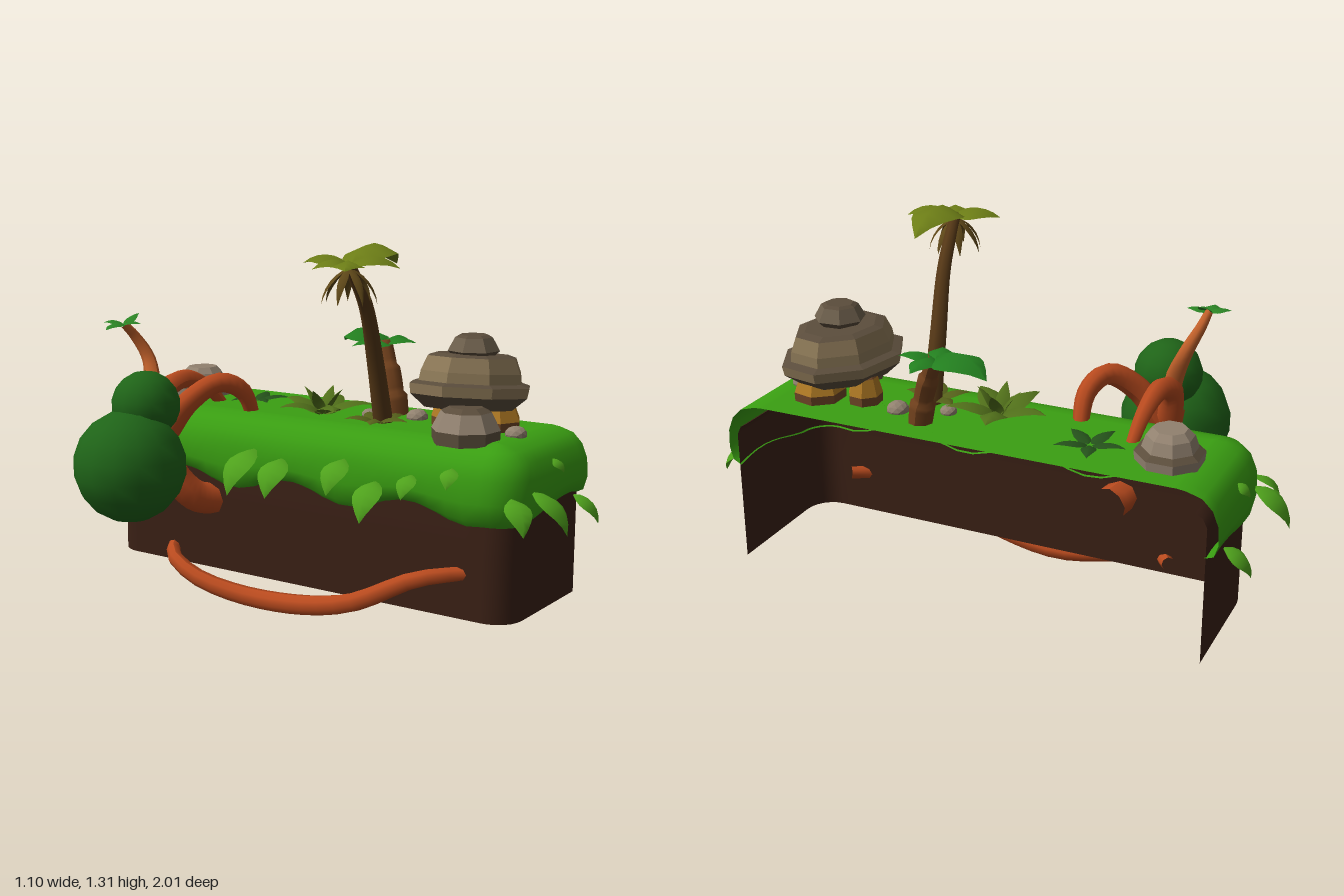
import * as THREE from 'three';

const V = (x, y, z) => new THREE.Vector3(x, y, z);
const GRASS = 0x3a9f12, SOIL = 0x3a2015, LEAF = 0x4fa21c, BARK = 0xb84a1e, OLIVE = 0x6c7d16;

function mesh(name, geometry, color, opts = {}) {
  const m = new THREE.Mesh(geometry, new THREE.MeshStandardMaterial({ color, ...opts }));
  m.name = name;
  return m;
}

// Smooth surface from an n x m grid of points
function grid(n, m, fn) {
  const pos = [], idx = [];
  for (let j = 0; j < m; j++) for (let i = 0; i < n; i++) pos.push(...fn(i, j).toArray());
  for (let j = 0; j < m - 1; j++) for (let i = 0; i < n - 1; i++) {
    const a = j * n + i, c = a + n;
    idx.push(a, a + 1, c + 1, a, c + 1, c);
  }
  const g = new THREE.BufferGeometry();
  g.setAttribute('position', new THREE.Float32BufferAttribute(pos, 3));
  g.setIndex(idx);
  g.computeVertexNormals();
  return g;
}

// Three-sided outline with rounded corners, open on +x: core point and outward normal
function outline() {
  const pts = [], add = (x, z, nx, nz) => pts.push({ x, z, nx, nz });
  for (let k = 0; k < 8; k++) add(0.5 - 0.05 * k, -0.75, 0, -1);
  for (let k = 0; k <= 6; k++) {
    const a = (k / 6) * Math.PI / 2;
    add(0.1, -0.75, -Math.sin(a), -Math.cos(a));
  }
  for (let k = 1; k < 24; k++) add(0.1, -0.75 + 1.5 * k / 24, -1, 0);
  for (let k = 0; k <= 6; k++) {
    const a = (k / 6) * Math.PI / 2;
    add(0.1, 0.75, -Math.cos(a), Math.sin(a));
  }
  for (let k = 1; k <= 8; k++) add(0.1 + 0.05 * k, 0.75, 0, 1);
  return pts;
}

// Sweep a profile of [distance from core, height, waviness] round the outline
function skirt(profile, closeTop) {
  const pts = outline();
  return grid(pts.length, profile.length + (closeTop ? 1 : 0), (i, j) => {
    if (j === profile.length) return V(0.5, profile[j - 1][1], 0);
    const p = pts[i], [d, y, w = 0] = profile[j];
    const wave = w * Math.sin(p.x * 9 + p.z * 13 + 1);
    return V(p.x + p.nx * d, y + wave, p.z + p.nz * d);
  });
}

// Folded leaf along +z whose pitch turns from a0 to a1
function leaf(len, width, a0, a1, color, name = 'leaf') {
  const N = 7, spine = [V(0, 0, 0)];
  for (let k = 1; k < N; k++) {
    const a = a0 + (a1 - a0) * (k - 0.5) / (N - 1);
    spine.push(spine[k - 1].clone().add(V(0, Math.sin(a), Math.cos(a)).multiplyScalar(len / (N - 1))));
  }
  const g = grid(N, 3, (i, j) => {
    const t = i / (N - 1), a = a0 + (a1 - a0) * t;
    const half = 0.5 * width * (0.15 * (1 - t) + 0.95 * Math.sin(Math.PI * Math.pow(t, 0.8)));
    const drop = j === 1 ? 0 : half * 0.4;
    return spine[i].clone().add(V((j - 1) * half, -drop * Math.cos(a), drop * Math.sin(a)));
  });
  return mesh(name, g, color, { side: THREE.DoubleSide });
}

// Leaves set round a point: rows of [yaw, length, width, start pitch, end pitch]
function crown(name, at, rows, color) {
  const g = new THREE.Group();
  g.name = name;
  g.position.set(...at);
  for (const [yaw, ...shape] of rows) {
    const l = leaf(...shape, color);
    l.rotation.y = yaw;
    g.add(l);
  }
  return g;
}
const star = (n, phase, ...shape) =>
  Array.from({ length: n }, (_, i) => [phase + i * 2 * Math.PI / n, ...shape]);

// Tube whose radius follows a rule along its length
function branch(name, points, radius, color, sides = 8) {
  const curve = new THREE.CatmullRomCurve3(points.map(p => V(...p)));
  const segs = 20, g = new THREE.TubeGeometry(curve, segs, 1, sides);
  const p = g.attributes.position, v = V(0, 0, 0);
  for (let i = 0; i < p.count; i++) {
    const t = Math.floor(i / (sides + 1)) / segs, c = curve.getPointAt(t);
    v.fromBufferAttribute(p, i).sub(c).multiplyScalar(radius(t)).add(c);
    p.setXYZ(i, v.x, v.y, v.z);
  }
  g.computeVertexNormals();
  return mesh(name, g, color);
}
const taper = (a, b) => t => a + (b - a) * t;

// Faceted rock from stacked bands: profile of [radius, height]
function rock(name, at, profile, colors, { sx = 1, sz = 1, yaw = 0, tilt = 0, sides = 8 } = {}) {
  const g = new THREE.Group();
  g.name = name;
  for (let i = 0; i < profile.length - 1; i++) {
    const [r0, y0] = profile[i], [r1, y1] = profile[i + 1];
    const last = i === profile.length - 2;
    const geo = new THREE.CylinderGeometry(r1, r0, y1 - y0, sides, 1, !(last || i === 0));
    const band = mesh('band', geo, colors[i % colors.length], { flatShading: true });
    band.position.y = (y0 + y1) / 2;
    g.add(band);
  }
  g.position.set(...at);
  g.scale.set(sx, 1, sz);
  g.rotation.set(0, yaw, tilt, 'ZYX');
  return g;
}

export function createModel() {
  const model = new THREE.Group();
  const add = (...o) => model.add(...o);
  const thin = { side: THREE.DoubleSide };

  // Soil wall and grass cover, open below and on one side
  add(mesh('soilWall', skirt([[0.1, 0.085], [0.1, 0.3], [0.1, 0.56], [0.085, 0.59], [0.06, 0.605]]), SOIL, thin));
  add(mesh('grassCover', skirt([[0.095, 0.43, 0.03], [0.125, 0.45, 0.02], [0.138, 0.5, 0.01], [0.135, 0.57],
    [0.115, 0.62], [0.08, 0.655], [0.03, 0.67], [0, 0.674], [-0.01, 0.674]], true), GRASS, thin));

  // Leaves hanging over the rim: [x, y, z, yaw, length, width]
  const rim = [
    [-0.03, 0.6, -0.66, -1.6, 0.1, 0.06], [-0.03, 0.56, -0.57, -1.4, 0.14, 0.08],
    [-0.03, 0.57, -0.15, -1.7, 0.24, 0.12], [-0.03, 0.55, -0.03, -1.5, 0.2, 0.11],
    [-0.03, 0.58, 0.23, -1.6, 0.18, 0.1], [-0.03, 0.52, 0.36, -1.5, 0.2, 0.1],
    [-0.03, 0.56, 0.5, -1.6, 0.12, 0.07], [-0.03, 0.6, 0.65, -1.4, 0.1, 0.06]];
  for (const s of [1, -1]) {
    const yaw = s > 0 ? 0 : Math.PI;
    rim.push([0.09, 0.53, s * 0.88, yaw, 0.21, 0.115], [0.41, 0.46, s * 0.88, yaw + 0.1, 0.15, 0.1],
      [0.255, 0.61, s * 0.87, yaw, 0.07, 0.065], [0.0, 0.52, s * 0.85, yaw - s * 0.7, 0.17, 0.09]);
  }
  for (const [x, y, z, yaw, len, w] of rim) {
    const l = leaf(len, w, 0.15, -1.75, LEAF, 'rimLeaf');
    l.position.set(x, y, z);
    l.rotation.y = yaw;
    add(l);
  }

  // Tall leaning palm
  add(branch('palmTrunk', [[0.21, 0.65, 0.24], [0.13, 0.9, 0.25], [0.02, 1.1, 0.28], [-0.13, 1.25, 0.31]],
    taper(0.036, 0.02), 0x563816));
  add(crown('palmLeaves', [-0.13, 1.25, 0.31], [
    [1.55, 0.33, 0.17, 0.85, -0.95], [3.3, 0.18, 0.13, 0.7, -0.7], [-1.1, 0.14, 0.11, 0.6, -0.8],
    [-2.2, 0.14, 0.1, 0.6, -0.8], [0.25, 0.19, 0.13, 0.7, -0.8]], OLIVE));
  add(crown('palmDeadLeaves', [-0.13, 1.24, 0.31], star(7, 0.4, 0.16, 0.03, -0.3, -1.5), 0x5e4718));

  // Short palm with a ringed trunk
  add(branch('shortPalmTrunk', [[0.37, 0.65, 0.2], [0.37, 0.77, 0.18], [0.4, 0.93, 0.12]],
    t => (0.046 - 0.022 * t) * (0.9 + 0.3 * ((t * 3) % 1)), 0x70401c));
  add(crown('shortPalmLeaves', [0.4, 0.92, 0.12], [
    [2.8, 0.27, 0.17, 0.8, -0.9], [1.5, 0.16, 0.09, 0.6, -0.6], [-1.4, 0.13, 0.08, 0.6, -0.8],
    [0.3, 0.13, 0.08, 0.7, -0.6], [-2.6, 0.13, 0.08, 0.6, -0.8]], 0x23801f));

  // Low ground plants
  add(crown('broadPlant', [0.21, 0.67, -0.02], star(5, 0.5, 0.2, 0.09, 0.85, -0.4), 0x51701a));
  add(crown('broadPlantCore', [0.21, 0.67, -0.02], star(4, 0.1, 0.13, 0.05, 1.3, 0.5), 0x51701a));
  add(crown('smallPlant', [0.17, 0.67, 0.24], star(5, 0, 0.13, 0.06, 0.8, -0.5), 0x55601a));
  add(crown('darkPlant', [0.31, 0.67, -0.39], star(5, 0.6, 0.13, 0.05, 0.6, -0.4), 0x24511a));

  // Twisted roots growing out of the wall and over the rim
  add(branch('mainRoot', [[0.04, 0.34, -0.37], [-0.06, 0.37, -0.41], [-0.13, 0.5, -0.48], [-0.14, 0.66, -0.51]],
    taper(0.06, 0.05), BARK));
  add(branch('tallRoot', [[-0.14, 0.58, -0.49], [-0.17, 0.72, -0.5], [-0.125, 0.87, -0.56], [-0.16, 0.96, -0.6], [-0.2, 1.0, -0.61]],
    taper(0.045, 0.014), 0xc0602a));
  add(branch('archRootBack', [[-0.14, 0.6, -0.5], [-0.08, 0.74, -0.53], [0.02, 0.78, -0.52], [0.14, 0.74, -0.51], [0.25, 0.64, -0.5]],
    taper(0.05, 0.02), BARK));
  add(branch('archRootFront', [[-0.14, 0.6, -0.48], [-0.1, 0.72, -0.4], [-0.02, 0.79, -0.32], [0.07, 0.75, -0.28], [0.16, 0.6, -0.29]],
    taper(0.05, 0.025), BARK));
  add(crown('rootSprout', [-0.2, 1.0, -0.61], [[-1.6, 0.1, 0.06, 0.5, -0.8], [1.4, 0.08, 0.05, 0.9, 0],
    [0.1, 0.08, 0.05, 0.6, -0.5], [-2.8, 0.08, 0.05, 0.6, -0.5]], 0x2b8424));
  add(branch('hangingRoot', [[0.03, 0.14, -0.58], [-0.07, 0.12, -0.5], [-0.1, 0.07, -0.36], [-0.085, 0.035, -0.1],
    [-0.12, 0.1, 0.3], [-0.08, 0.22, 0.55], [0.03, 0.24, 0.69]], t => 0.024 + 0.012 * Math.sin(Math.PI * t), BARK));

  // Round bushes
  for (const [x, y, z, r] of [[-0.35, 0.525, -0.46, 0.2], [-0.265, 0.73, -0.455, 0.122]]) {
    const bush = mesh('bush', new THREE.SphereGeometry(r, 14, 9), 0x1f6418);
    bush.position.set(x, y, z);
    add(bush);
  }

  // Stacked rocks on orange stones
  const tan = 0x8c7857, dark = 0x5b4d3c, grey = 0x91816f, orange = 0xb07a24, rust = 0x6e4526;
  add(rock('slabRock', [0.25, 0.75, 0.555], [[0.15, 0], [0.2, 0.045], [0.205, 0.08], [0.175, 0.09], [0.17, 0.125], [0.15, 0.175], [0.12, 0.185]],
    [dark, tan, dark, tan, tan, dark], { sx: 1.1, sz: 0.85, yaw: -0.65, tilt: -0.09 }));
  add(rock('capRock', [0.245, 0.92, 0.57], [[0.06, 0], [0.09, 0.03], [0.065, 0.075], [0.05, 0.083]], [dark, 0x6d5f4c],
    { yaw: -0.6, sides: 7 }));
  const stone = r => [[r, 0], [r * 1.02, 0.045], [r * 0.75, 0.105], [r * 0.5, 0.12]];
  add(rock('orangeStone', [0.32, 0.66, 0.62], stone(0.09), [rust, orange], { sides: 7 }));
  add(rock('orangeStone', [0.29, 0.66, 0.455], stone(0.06), [rust, orange], { sides: 7, yaw: 1 }));
  add(rock('greyRock', [0.11, 0.66, 0.62], stone(0.115), [dark, grey], { yaw: 0.3 }));
  add(rock('layeredRock', [0.31, 0.66, -0.66], [[0.12, 0], [0.125, 0.045], [0.1, 0.06], [0.085, 0.1], [0.06, 0.122]],
    [grey, dark, grey], { yaw: 0.4, sz: 0.92 }));

  // Pebbles
  for (const [x, z, r] of [[0.32, 0.31, 0.04], [0.265, 0.145, 0.03], [0.24, 0.74, 0.038]]) {
    const pebble = mesh('pebble', new THREE.IcosahedronGeometry(r, 1), grey, { flatShading: true });
    pebble.position.set(x, 0.68, z);
    pebble.scale.y = 0.75;
    add(pebble);
  }
  return model;
}
